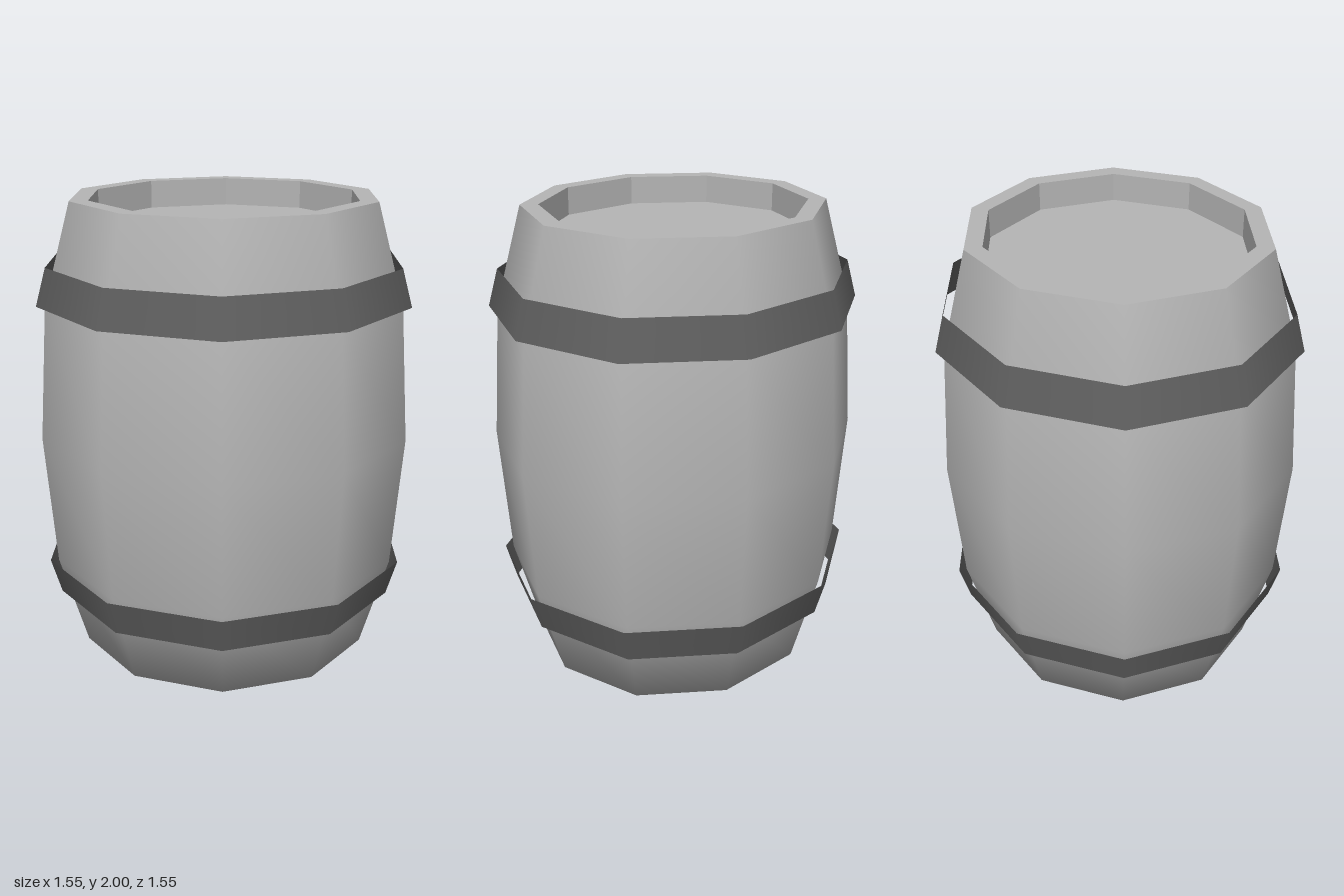
import * as THREE from 'three';

const SIDES = 10;
const WIDEN = 1 / Math.cos(Math.PI / SIDES); // makes the decagon as wide as it is deep

// Ten-sided turned part from [radius, height] pairs
function turned(name, profile, material, flat = false) {
  const points = profile.map(([r, y]) => new THREE.Vector2(r, y));
  let geometry = new THREE.LatheGeometry(points, SIDES);
  geometry.scale(WIDEN, 1, 1);
  if (flat) {
    geometry = geometry.toNonIndexed();
    geometry.computeVertexNormals();
  }
  const mesh = new THREE.Mesh(geometry, material);
  mesh.name = name;
  return mesh;
}

export function createModel() {
  const wood = new THREE.MeshStandardMaterial({ color: 0xb5b5b5 });
  wood.name = 'paleGrey';
  const iron = new THREE.MeshStandardMaterial({ color: 0x5e5e5e, side: THREE.DoubleSide });
  iron.name = 'darkGrey';

  const barrel = new THREE.Group();
  barrel.name = 'barrel';

  // Bulging body with a closed, softly shaded bottom
  barrel.add(turned('body', [
    [0, 0], [0.622, 0], [0.735, 0.42], [0.775, 1], [0.735, 1.58], [0.622, 2],
  ], wood));

  // Flat rim, recess wall and sunken lid
  barrel.add(turned('rim', [[0.622, 2], [0.548, 2]], wood, true));
  barrel.add(turned('recessWall', [[0.548, 2], [0.548, 1.88]], wood, true));
  barrel.add(turned('lid', [[0.548, 1.88], [0, 1.88]], wood, true));

  // Open hoops standing slightly off the body
  barrel.add(turned('lowerHoop', [[0.727, 0.263], [0.77, 0.422]], iron));
  barrel.add(turned('upperHoop', [[0.77, 1.578], [0.727, 1.737]], iron));

  return barrel;
}
